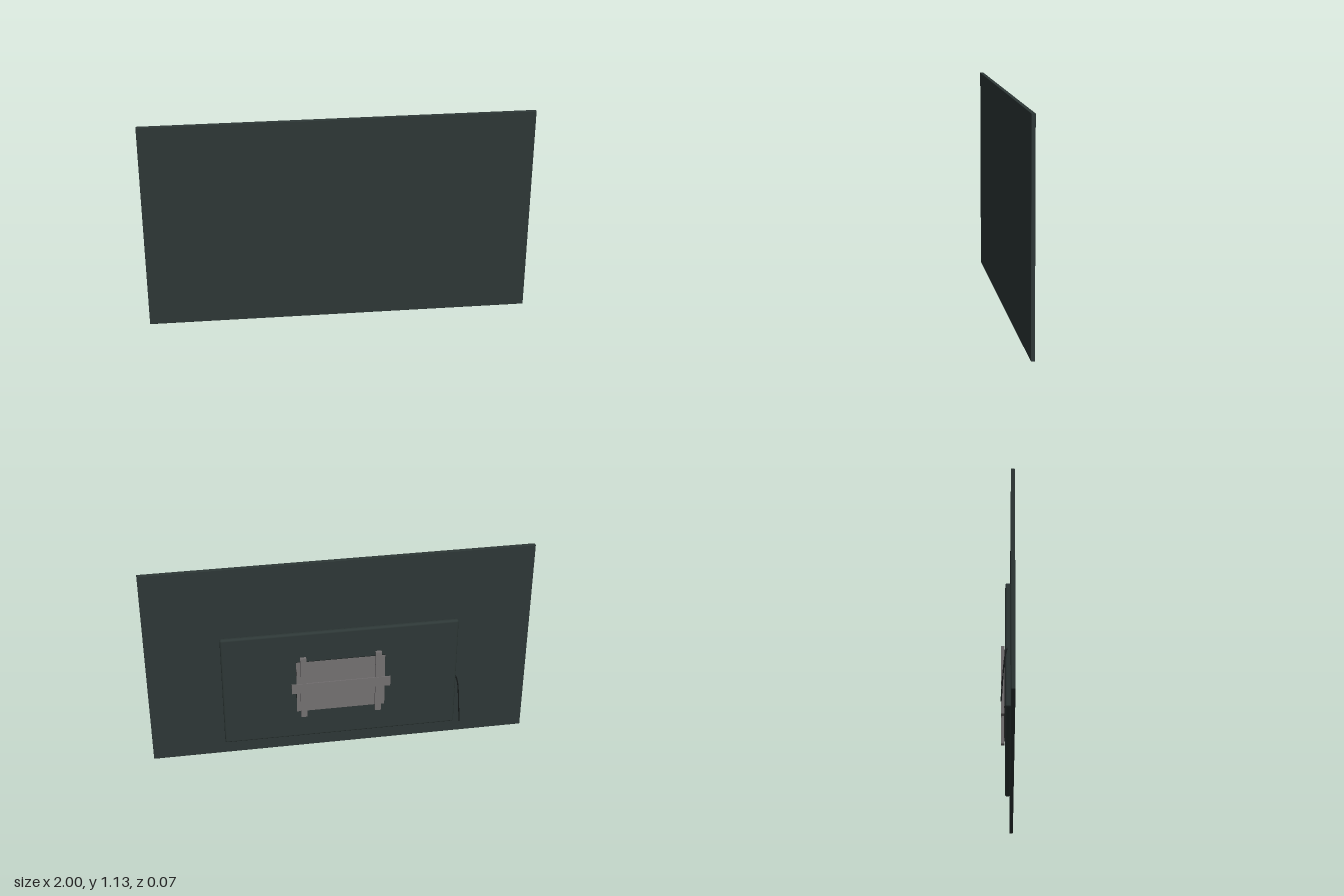
import * as THREE from 'three';
import { RoundedBoxGeometry } from 'three/addons/geometries/RoundedBoxGeometry.js';

const material = (name, color) => {
  const m = new THREE.MeshStandardMaterial({ color });
  m.name = name;
  return m;
};

export function createModel() {
  const group = new THREE.Group();
  const casing = material('dark casing', 0x2d3736);
  const metal = material('grey metal', 0x737071);
  const rubber = material('black rubber', 0x161a1a);

  const add = (name, geometry, mat) => {
    const mesh = new THREE.Mesh(geometry, mat);
    mesh.name = name;
    group.add(mesh);
    return mesh;
  };
  // Box given by its limits on each axis; a radius rounds its edges
  const slab = (name, mat, [x0, x1], [y0, y1], [z0, z1], radius = 0) => {
    const size = [x1 - x0, y1 - y0, z1 - z0];
    const geometry = radius
      ? new RoundedBoxGeometry(...size, 4, radius)
      : new THREE.BoxGeometry(...size);
    add(name, geometry, mat).position.set((x0 + x1) / 2, (y0 + y1) / 2, (z0 + z1) / 2);
  };

  // Flat screen and the rounded electronics housing behind it
  slab('screenPanel', casing, [-1, 1], [0, 1.13], [0.014, 0.033], 0.002);
  slab('rearHousing', casing, [-0.618, 0.618], [0.08, 0.732], [-0.012, 0.015], 0.011);

  // Wall mount: pad, plate, two upright rails and a crossbar
  slab('mountPad', rubber, [-0.233, 0.233], [0.25, 0.56], [-0.016, -0.011]);
  slab('mountPlate', metal, [-0.233, 0.233], [0.25, 0.56], [-0.018, -0.016]);
  for (const side of [-1, 1]) {
    const x = side * 0.197;
    slab(side > 0 ? 'leftRail' : 'rightRail', metal, [x - 0.016, x + 0.016], [0.22, 0.59], [-0.032, -0.015]);
  }
  slab('crossbar', metal, [-0.26, 0.26], [0.376, 0.434], [-0.0335, -0.0285]);

  // Power cable hanging from the side of the housing
  const path = new THREE.CatmullRomCurve3([
    new THREE.Vector3(-0.612, 0.39, 0),
    new THREE.Vector3(-0.624, 0.36, -0.008),
    new THREE.Vector3(-0.631, 0.32, -0.015),
    new THREE.Vector3(-0.638, 0.21, -0.024),
    new THREE.Vector3(-0.645, 0.095, -0.031),
  ]);
  add('powerCable', new THREE.TubeGeometry(path, 24, 0.003, 8), rubber);

  return group;
}
